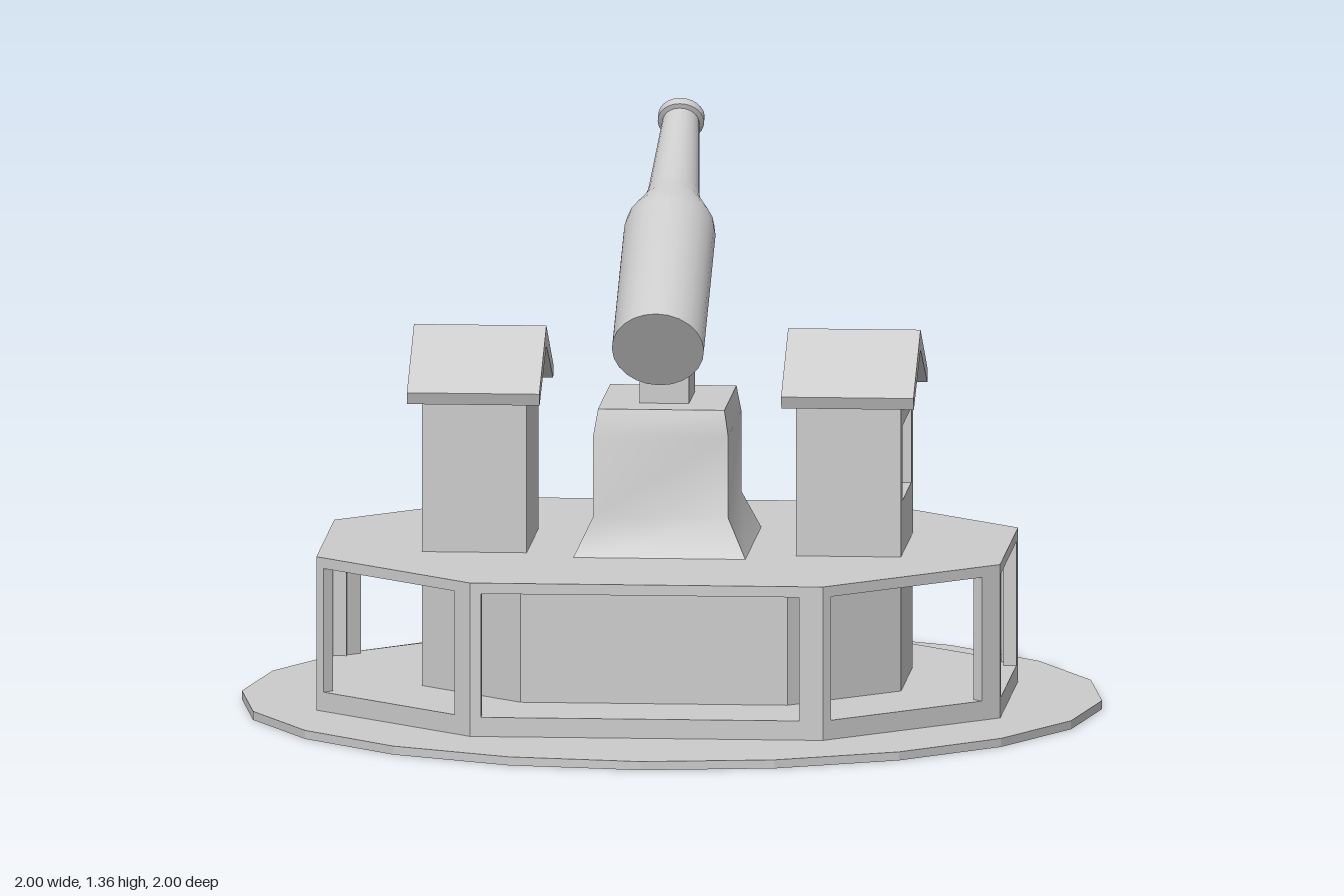
import * as THREE from 'three';
import { toCreasedNormals } from 'three/addons/utils/BufferGeometryUtils.js';

const grey = new THREE.MeshStandardMaterial({ color: 0xcccccc });

function add(parent, name, geometry) {
  const mesh = new THREE.Mesh(geometry, grey);
  mesh.name = name;
  parent.add(mesh);
  return mesh;
}

const shapeOf = pts => new THREE.Shape(pts.map(([x, y]) => new THREE.Vector2(x, y)));
const extrude = (shape, depth) => new THREE.ExtrudeGeometry(shape, { depth, bevelEnabled: false });

// Octagon corners as [x, z], counter-clockwise seen from above, starting front left end
const octagon = (x, z, cx, cz) => [
  [-cx, z], [cx, z], [x, cz], [x, -cz], [cx, -z], [-cx, -z], [-x, -cz], [-x, cz],
];

// Upright prism between two heights
function prism(corners, y0, y1) {
  const g = extrude(shapeOf(corners.map(([x, z]) => [x, -z])), y1 - y0);
  return g.rotateX(-Math.PI / 2).translate(0, y0, 0);
}

// Small gabled house with a recessed window facing +x, centred on its own x
function makeHouse() {
  const house = new THREE.Group();
  const outline = [[-0.185, 0.38], [0.185, 0.38], [0.185, 0.74], [0, 0.845], [-0.185, 0.74]];
  const place = (g, x) => g.rotateY(Math.PI / 2).translate(x, 0, 0);
  add(house, 'houseBody', place(extrude(shapeOf(outline), 0.215), -0.122));
  const wall = shapeOf(outline);
  wall.holes.push(new THREE.Path(
    [[-0.14, 0.505], [-0.14, 0.68], [0.14, 0.68], [0.14, 0.505]].map(p => new THREE.Vector2(...p))));
  add(house, 'windowWall', place(extrude(wall, 0.029), 0.093));
  const chevron = shapeOf([
    [-0.212, 0.73], [0, 0.838], [0.212, 0.73], [0.222, 0.758], [0, 0.885], [-0.222, 0.758]]);
  add(house, 'houseRoof', place(extrude(chevron, 0.308), -0.154));
  return house;
}

export function createModel() {
  const model = new THREE.Group();
  model.name = 'rooftopBottleDisplay';

  // Ground disc
  add(model, 'groundDisc', toCreasedNormals(
    new THREE.CylinderGeometry(1, 1, 0.02, 20).translate(0, 0.01, 0), 0.1));

  const upper = new THREE.Group();
  upper.name = 'upperStructure';
  upper.position.x = -0.011;
  model.add(upper);

  // Octagonal platform: curb, deck and inner core
  const corners = octagon(0.795, 0.65, 0.41, 0.28);
  add(upper, 'platformCurb', prism(corners, 0.02, 0.065));
  add(upper, 'platformDeck', prism(corners, 0.355, 0.38));
  add(upper, 'platformCore', prism(octagon(0.557, 0.415, 0.31, 0.18), 0.06, 0.36));

  // Posts at both ends of each open side
  const thick = 0.03;
  corners.forEach(([x0, z0], i) => {
    const [x1, z1] = corners[(i + 1) % 8];
    const side = new THREE.Group();
    side.name = 'platformSide' + (i + 1);
    const length = Math.hypot(x1 - x0, z1 - z0);
    side.position.set(x0, 0, z0);
    side.rotation.y = Math.atan2(z0 - z1, x1 - x0);
    upper.add(side);
    const post = (start, width) => add(side, 'post',
      new THREE.BoxGeometry(width, 0.29, thick).translate(start + width / 2, 0.21, -thick / 2));
    post(0, 0.025);
    post(length - 0.055, 0.055);
  });

  // Flared pedestal: [y, half width, half depth] per level
  const levels = [[0.38, 0.2, 0.248], [0.47, 0.157, 0.205], [0.66, 0.157, 0.205], [0.72, 0.147, 0.188]];
  const n = levels.length - 1;
  const pedestal = new THREE.BoxGeometry(2, 1, 2, 1, n, 1);
  const p = pedestal.attributes.position;
  for (let i = 0; i < p.count; i++) {
    const [y, w, d] = levels[Math.round((p.getY(i) + 0.5) * n)];
    p.setXYZ(i, p.getX(i) * w, y, p.getZ(i) * d);
  }
  add(upper, 'pedestal', toCreasedNormals(pedestal, 0.7));
  add(upper, 'bottleSupport', new THREE.BoxGeometry(0.115, 0.28, 0.185).translate(0, 0.86, 0));

  // Tilted bottle
  const profile = [
    [0, 0], [0.107, 0], [0.107, 0.42], [0.102, 0.455], [0.068, 0.53], [0.06, 0.57],
    [0.043, 0.83], [0.054, 0.833], [0.054, 0.854], [0, 0.854],
  ].map(([r, y]) => new THREE.Vector2(r, y));
  const bottle = add(upper, 'bottle', toCreasedNormals(new THREE.LatheGeometry(profile, 24), 0.6));
  bottle.position.set(0, 0.877, 0.292);
  bottle.rotation.x = -1.037;

  // Houses on either side, windows facing outward
  for (const s of [1, -1]) {
    const house = makeHouse();
    house.name = s > 0 ? 'leftHouse' : 'rightHouse';
    house.position.x = s * 0.435;
    if (s < 0) house.rotation.y = Math.PI;
    upper.add(house);
  }
  return model;
}
